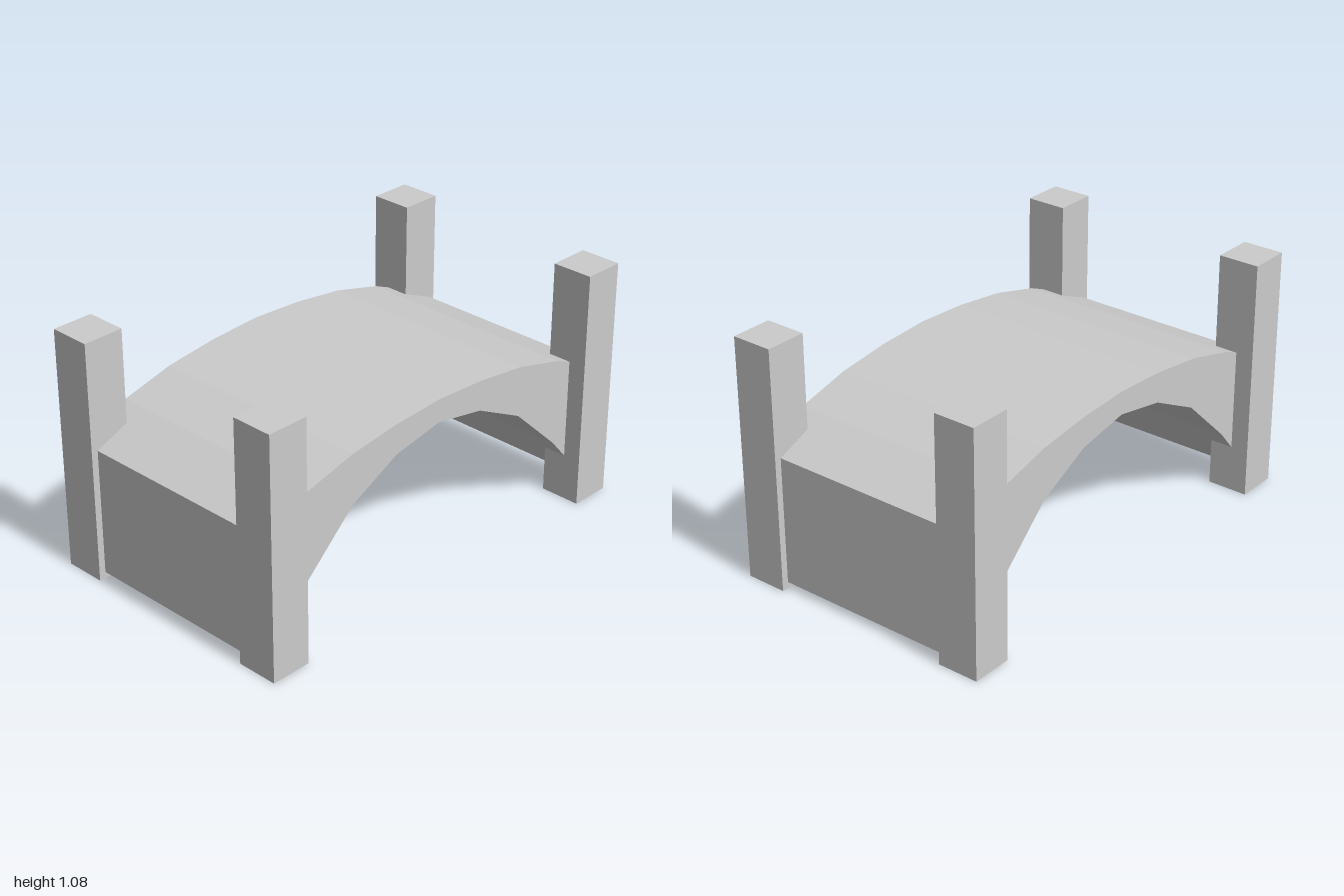
import * as THREE from 'three';

export function createModel() {
  const group = new THREE.Group();
  const material = new THREE.MeshStandardMaterial({ color: 0xcccccc, flatShading: true });

  // Arched deck: half profile of [x, underside y, top y], mirrored about the middle
  const half = [
    [0, 0.697, 0.8],
    [0.245, 0.652, 0.787],
    [0.49, 0.53, 0.756],
    [0.73, 0.305, 0.695],
    [0.97, 0.028, 0.595],
  ];
  const stations = [...half.slice(1).reverse().map(([x, b, t]) => [-x, b, t]), ...half];
  const outline = [
    ...stations.map(([x, b]) => new THREE.Vector2(x, b)),
    ...stations.map(([x, , t]) => new THREE.Vector2(x, t)).reverse(),
  ];
  const deckDepth = 1.035;
  const deckGeometry = new THREE.ExtrudeGeometry(new THREE.Shape(outline), {
    depth: deckDepth,
    bevelEnabled: false,
  });
  deckGeometry.translate(0, 0, -deckDepth / 2);
  const deck = new THREE.Mesh(deckGeometry, material);
  deck.name = 'archedDeck';
  group.add(deck);

  // Square posts at the four corners
  const postWidth = 0.185;
  const postHeight = 1.077;
  const postGeometry = new THREE.BoxGeometry(postWidth, postHeight, postWidth);
  for (const [sx, side] of [[1, 'Left'], [-1, 'Right']]) {
    for (const [sz, end] of [[1, 'front'], [-1, 'back']]) {
      const post = new THREE.Mesh(postGeometry, material);
      post.name = `${end}${side}Post`;
      post.position.set(sx * (1 - postWidth / 2), postHeight / 2, sz * (0.598 - postWidth / 2));
      group.add(post);
    }
  }

  return group;
}
